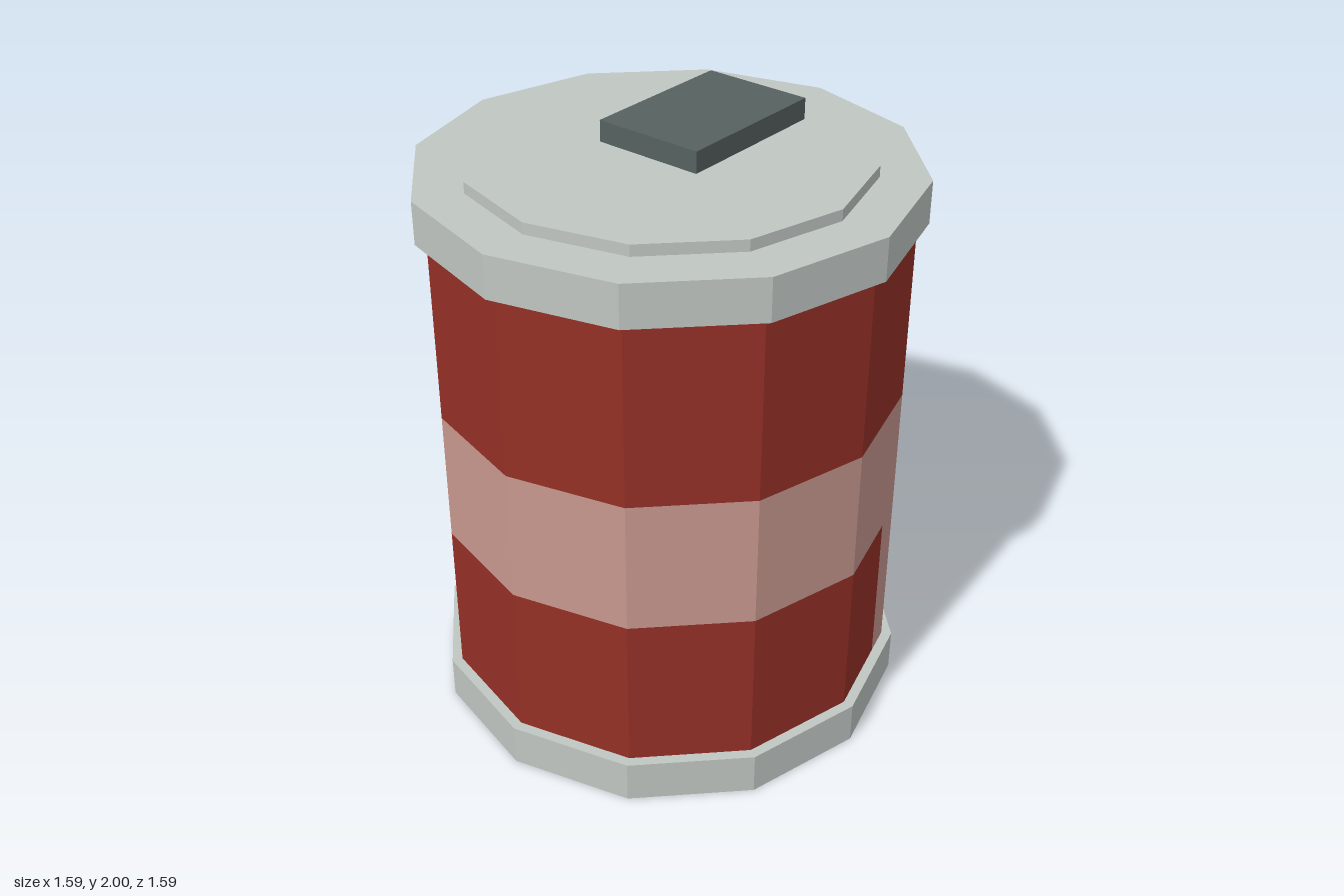
import * as THREE from 'three';

const mat = (name, color) => {
  const m = new THREE.MeshStandardMaterial({ color, flatShading: true });
  m.name = name;
  return m;
};

const SIDES = 12;
const BODY_RADIUS = 0.76;

// Point on the twelve-sided outline; u counts facets from the front corner towards +x.
function outline(u) {
  const corner = (k) => {
    const a = (k / SIDES) * Math.PI * 2;
    return new THREE.Vector2(Math.sin(a) * BODY_RADIUS, Math.cos(a) * BODY_RADIUS);
  };
  const k = Math.floor(u);
  return corner(k).lerp(corner(k + 1), u - k);
}

// Flat-faced wall following the outline from u0 to u1.
function wall(u0, u1, y0, y1) {
  const stops = [u0];
  for (let k = Math.floor(u0) + 1; k < u1; k++) stops.push(k);
  stops.push(u1);
  const pos = [];
  for (let i = 0; i < stops.length - 1; i++) {
    const a = outline(stops[i]), b = outline(stops[i + 1]);
    pos.push(a.x, y0, a.y, b.x, y0, b.y, b.x, y1, b.y);
    pos.push(a.x, y0, a.y, b.x, y1, b.y, a.x, y1, a.y);
  }
  const g = new THREE.BufferGeometry();
  g.setAttribute('position', new THREE.Float32BufferAttribute(pos, 3));
  g.computeVertexNormals();
  return g;
}

export function createModel() {
  const group = new THREE.Group();
  const red = mat('red paint', 0x943026);
  const pink = mat('pale pink label', 0xc8988f);
  const grey = mat('light grey metal', 0xc0c6c2);
  const dark = mat('dark grey metal', 0x566160);

  const add = (name, geometry, material, y = 0, z = 0) => {
    const mesh = new THREE.Mesh(geometry, material);
    mesh.name = name;
    mesh.position.set(0, y, z);
    group.add(mesh);
  };
  const disc = (name, r, y0, y1) =>
    add(name, new THREE.CylinderGeometry(r, r, y1 - y0, SIDES), grey, (y0 + y1) / 2);

  // Metal rims and lid
  disc('bottomRim', 0.795, 0, 0.145);
  disc('topRim', 0.795, 1.74, 1.88);
  disc('lid', 0.637, 1.88, 1.917);

  // Painted body: the label band widens down to the base at the back
  const backStart = 3.737, backEnd = 9;
  add('upperBody', wall(0, SIDES, 1.13, 1.74), red);
  add('labelBand', wall(0, SIDES, 0.68, 1.13), pink);
  add('backLabel', wall(backStart, backEnd, 0.145, 0.68), pink);
  add('lowerBody', wall(backEnd, SIDES + backStart, 0.145, 0.68), red);

  // Pull tab held just above the lid
  add('pullTab', new THREE.BoxGeometry(0.374, 0.07, 0.54), dark, 1.965, -0.17);

  return group;
}
